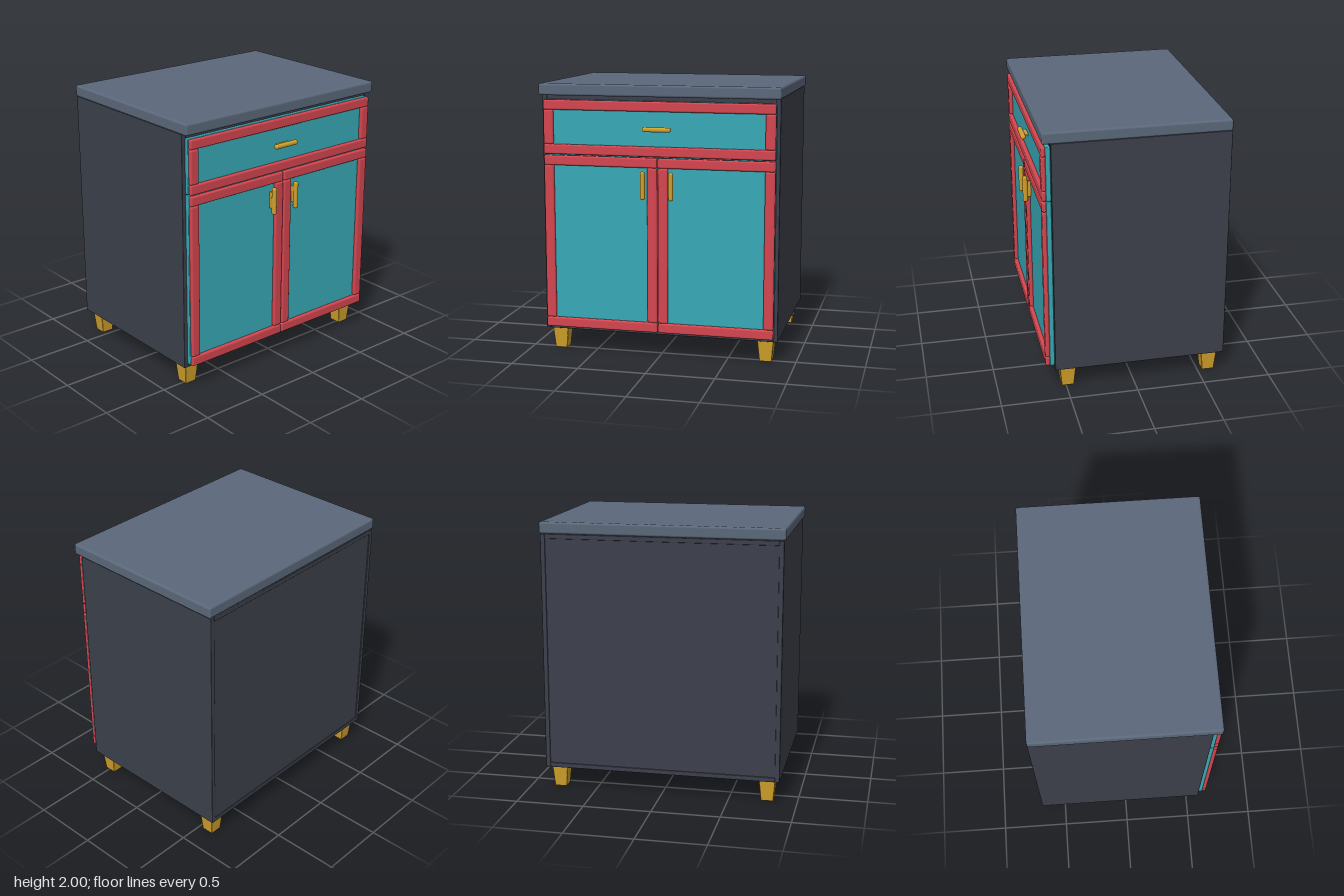
import * as THREE from 'three';
import { RoundedBoxGeometry } from 'three/addons/geometries/RoundedBoxGeometry.js';

const material = (name, color) => {
  const m = new THREE.MeshStandardMaterial({ color });
  m.name = name;
  return m;
};

export function createModel() {
  const slate = material('slate', 0x5b687a);
  const charcoal = material('charcoal', 0x3c404b);
  const red = material('red', 0xd4464f);
  const teal = material('teal', 0x37a9b5);
  const gold = material('gold', 0xd0a02b);

  const cabinet = new THREE.Group();
  cabinet.name = 'cabinet';

  // Rounded box given by its extents along each axis
  const block = (parent, name, mat, [x0, x1], [y0, y1], [z0, z1], radius) => {
    const geo = new RoundedBoxGeometry(x1 - x0, y1 - y0, z1 - z0, 3, radius);
    const mesh = new THREE.Mesh(geo, mat);
    mesh.position.set((x0 + x1) / 2, (y0 + y1) / 2, (z0 + z1) / 2);
    mesh.name = name;
    parent.add(mesh);
    return mesh;
  };

  // Worktop
  block(cabinet, 'worktop', slate, [-0.885, 0.885], [1.915, 2], [-0.68, 0.648], 0.016);

  // Carcass: boards around a slightly recessed back and a closed core
  const carcass = new THREE.Group();
  carcass.name = 'carcass';
  cabinet.add(carcass);
  const depth = [-0.68, 0.585];
  for (const s of [-1, 1]) {
    const xs = s > 0 ? [0.84, 0.875] : [-0.875, -0.84];
    block(carcass, s > 0 ? 'leftSide' : 'rightSide', charcoal, xs, [0.165, 1.915], depth, 0.005);
  }
  block(carcass, 'bottomBoard', charcoal, [-0.842, 0.842], [0.165, 0.2], depth, 0.005);
  block(carcass, 'topBoard', charcoal, [-0.842, 0.842], [1.88, 1.915], depth, 0.005);
  block(carcass, 'backAndCore', charcoal, [-0.845, 0.845], [0.195, 1.885], [-0.674, 0.58], 0.003);

  // Framed front: teal panel behind two rails and two stiles
  const framedFront = (name, [x0, x1], [y0, y1]) => {
    const group = new THREE.Group();
    group.name = name;
    cabinet.add(group);
    const w = 0.073, z = [0.618, 0.65], r = 0.013;
    block(group, 'panel', teal, [x0, x1], [y0, y1], [0.585, 0.62], 0.006);
    block(group, 'bottomRail', red, [x0, x1], [y0, y0 + w], z, r);
    block(group, 'topRail', red, [x0, x1], [y1 - w, y1], z, r);
    block(group, 'rightStile', red, [x0, x0 + w], [y0 + w, y1 - w], z, r);
    block(group, 'leftStile', red, [x1 - w, x1], [y0 + w, y1 - w], z, r);
    return group;
  };
  const handleDepth = [0.644, 0.68];

  const drawer = framedFront('drawer', [-0.85, 0.85], [1.49, 1.885]);
  block(drawer, 'drawerHandle', gold, [-0.105, 0.105], [1.67, 1.704], handleDepth, 0.015);
  // The drawer panel is set back, so its handle has a short post
  block(drawer, 'handlePost', gold, [-0.06, 0.06], [1.68, 1.694], [0.615, 0.66], 0.004);

  for (const s of [-1, 1]) {
    const span = (a, b) => (s > 0 ? [a, b] : [-b, -a]);
    const door = framedFront(s > 0 ? 'leftDoor' : 'rightDoor', span(0.003, 0.85), [0.195, 1.482]);
    block(door, 'doorHandle', gold, span(0.087, 0.121), [1.18, 1.385], handleDepth, 0.015);
    block(door, 'handlePost', gold, span(0.097, 0.111), [1.22, 1.345], [0.615, 0.66], 0.004);
  }

  // Tapered square feet
  const footGeo = new RoundedBoxGeometry(0.122, 0.17, 0.122, 2, 0.006);
  const pos = footGeo.attributes.position;
  for (let i = 0; i < pos.count; i++) {
    const k = THREE.MathUtils.lerp(0.74, 1, pos.getY(i) / 0.17 + 0.5);
    pos.setX(i, pos.getX(i) * k);
    pos.setZ(i, pos.getZ(i) * k);
  }
  footGeo.computeVertexNormals();
  for (const x of [-0.78, 0.78]) {
    for (const z of [-0.58, 0.487]) {
      const foot = new THREE.Mesh(footGeo, gold);
      foot.name = (z > 0 ? 'front' : 'back') + (x > 0 ? 'Left' : 'Right') + 'Foot';
      foot.position.set(x, 0.085, z);
      cabinet.add(foot);
    }
  }

  return cabinet;
}
